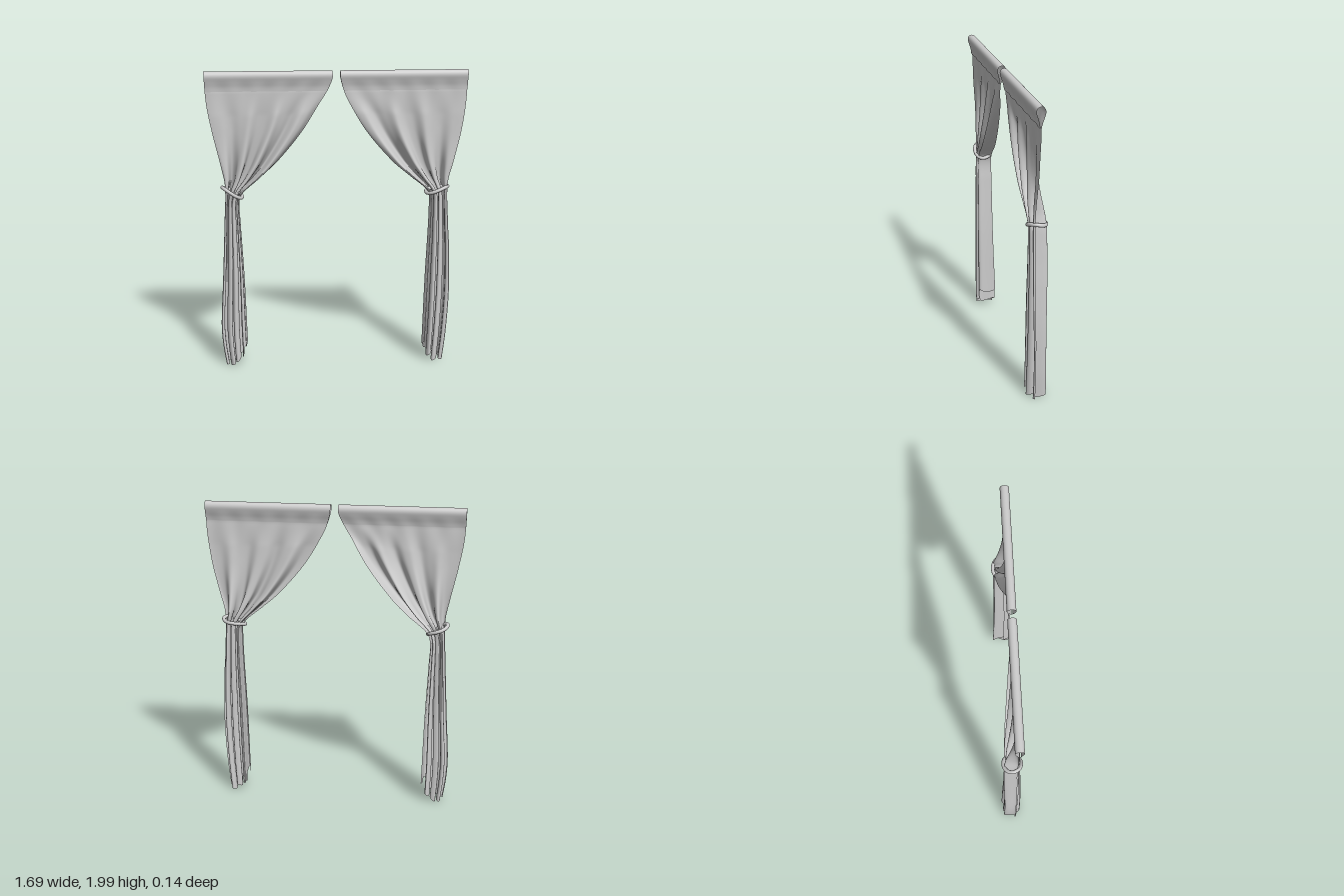
import * as THREE from 'three';

const cloth = new THREE.MeshStandardMaterial({ color: 0xcccccc, side: THREE.DoubleSide });

// Smooth lookup in a table of [height, value] pairs, heights descending
function sample(table, y) {
  const n = table.length - 1;
  if (y >= table[0][0]) return table[0][1];
  if (y <= table[n][0]) return table[n][1];
  let i = 0;
  while (y < table[i + 1][0]) i++;
  const slope = k => {
    const a = table[Math.max(k - 1, 0)], b = table[Math.min(k + 1, n)];
    return (b[1] - a[1]) / (b[0] - a[0]);
  };
  const [y0, v0] = table[i], [y1, v1] = table[i + 1];
  const h = y1 - y0, t = (y - y0) / h, t2 = t * t, t3 = t2 * t;
  return v0 * (2 * t3 - 3 * t2 + 1) + v1 * (3 * t2 - 2 * t3)
    + h * (slope(i) * (t3 - 2 * t2 + t) + slope(i + 1) * (t3 - t2));
}

// Depth of the cloth: middle, fold size and sideways fold overlap at each height
const middle = [[1.87, 0.04], [1.6, 0.034], [1.4, 0.024], [1.22, 0.01], [0.6, 0.01], [0.05, 0.004]];
const foldSize = [[1.87, 0.004], [1.75, 0.017], [1.6, 0.031], [1.4, 0.045], [1.22, 0.052],
  [0.9, 0.056], [0.5, 0.061], [0.05, 0.07]];
const overlap = [[1.6, 0], [1.3, 0.007], [1.15, 0.01], [0.6, 0.013], [0, 0.014]];

// Rod pocket section as [z, y], from the front hem over the top to the back
const pocket = new THREE.SplineCurve([
  [0.047, 1.87], [0.051, 1.9], [0.061, 1.935], [0.07, 1.968], [0.062, 1.992], [0.042, 2.0],
  [0.022, 1.992], [0.013, 1.968], [0.021, 1.935], [0.033, 1.9], [0.04, 1.87],
].map(p => new THREE.Vector2(...p)));

// One draped sheet: pocket rows first, then the gathered cloth down to the hem
function drape({ side, outer, inner, waves, twist }) {
  const cols = 160, pocketRows = 32, rows = 110;
  const pos = [], index = [];
  const step = THREE.MathUtils.smoothstep;
  for (let r = 0; r <= pocketRows + rows; r++) {
    for (let c = 0; c <= cols; c++) {
      const u = c / cols;
      const pucker = 0.003 * Math.sin(34 * u);
      if (r <= pocketRows) {
        const p = pocket.getPoint(r / pocketRows);
        const xo = sample(outer, p.y), xi = sample(inner, p.y);
        pos.push(side * (xo + (xi - xo) * u), p.y, p.x + pucker * step(1.96 - p.y, 0, 0.09));
        continue;
      }
      const t = (r - pocketRows) / rows;
      const phase = Math.pow(u, 1.1) * waves * Math.PI * 2 + 0.5;
      // The hem climbs in steps from the outer corner to the inner edge
      const hem = 0.008 + 0.035 * step(u, 0.4, 0.65) + 0.08 * step(u, 0.82, 0.88)
        + 0.02 * Math.sin(phase) ** 2 * step(u, 0.1, 0.5);
      const y = 1.87 + (hem - 1.87) * t;
      const drift = phase + twist * (1.2 - y) * Math.sin(Math.PI * u);
      // Folds are shallower on the spread outer half and on the outer panel
      const weight = (1 - step(y, 1.2, 1.6) * 0.65 * (1 - u))
        * (1 - 0.35 * (1 - step(y, 0.1, 1)) * (1 - step(u, 0.1, 0.4)));
      const wave = 0.88 * Math.sin(drift) + 0.12 * Math.sin(drift * 2.3 + 1);
      const xo = sample(outer, y), xi = sample(inner, y);
      const x = xo + (xi - xo) * u + sample(overlap, y) * Math.sin(2 * drift) * Math.sin(Math.PI * u);
      const z = sample(middle, y) + sample(foldSize, y) * weight * wave * Math.min(1, t * 12);
      pos.push(side * x, y, z + pucker * Math.max(0, 1 - t * 8));
    }
  }
  const w = cols + 1;
  for (let r = 0; r < pocketRows + rows; r++) {
    for (let c = 0; c < cols; c++) {
      const a = r * w + c, b = a + 1, d = a + w, e = d + 1;
      if (side > 0) index.push(a, b, d, b, e, d);
      else index.push(a, d, b, b, d, e);
    }
  }
  const geo = new THREE.BufferGeometry();
  geo.setAttribute('position', new THREE.Float32BufferAttribute(pos, 3));
  geo.setIndex(index);
  geo.computeVertexNormals();
  return new THREE.Mesh(geo, cloth);
}

// Tilted rope loop around the gathered cloth
function tieBack({ side, tie }) {
  const pts = [];
  for (let i = 0; i < 16; i++) {
    const a = (i / 16) * Math.PI * 2;
    const dx = tie.rx * Math.cos(a);
    pts.push(new THREE.Vector3(
      side * (tie.x + dx),
      1.205 + dx * tie.slope + 0.006 * Math.sin(a * 2),
      0.01 + 0.056 * Math.sin(a)));
  }
  const path = new THREE.CatmullRomCurve3(pts, true);
  return new THREE.Mesh(new THREE.TubeGeometry(path, 64, 0.012, 10, true), cloth);
}

// Edge distances from the centre line, as [height, distance]
const curtains = [
  {
    name: 'rightCurtain', side: -1, waves: 3.6, twist: 0.9,
    outer: [[2, 0.845], [1.8, 0.835], [1.6, 0.8], [1.4, 0.755], [1.25, 0.728], [1.0, 0.737],
      [0.6, 0.757], [0.3, 0.774], [0.15, 0.767], [0, 0.745]],
    inner: [[2, 0.028], [1.95, 0.03], [1.87, 0.062], [1.8, 0.105], [1.6, 0.225], [1.4, 0.385],
      [1.3, 0.49], [1.2, 0.61], [1.13, 0.638], [1.0, 0.634], [0.6, 0.615], [0.13, 0.602]],
    tie: { x: 0.683, rx: 0.064, slope: 0.5 },
  },
  {
    name: 'leftCurtain', side: 1, waves: 3.4, twist: -0.8,
    outer: [[2, 0.842], [1.8, 0.836], [1.6, 0.81], [1.4, 0.765], [1.25, 0.73], [1.0, 0.737],
      [0.8, 0.75], [0.5, 0.757], [0.2, 0.742], [0, 0.72]],
    inner: [[2, 0.02], [1.95, 0.023], [1.87, 0.045], [1.8, 0.075], [1.6, 0.195], [1.4, 0.365],
      [1.3, 0.48], [1.2, 0.595], [1.1, 0.61], [0.6, 0.592], [0.12, 0.58]],
    tie: { x: 0.662, rx: 0.071, slope: 0.25 },
  },
];

export function createModel() {
  const model = new THREE.Group();
  model.name = 'curtains';
  for (const spec of curtains) {
    const group = new THREE.Group();
    group.name = spec.name;
    const sheet = drape(spec);
    sheet.name = 'drape';
    const rope = tieBack(spec);
    rope.name = 'tieBack';
    group.add(sheet, rope);
    model.add(group);
  }
  return model;
}
